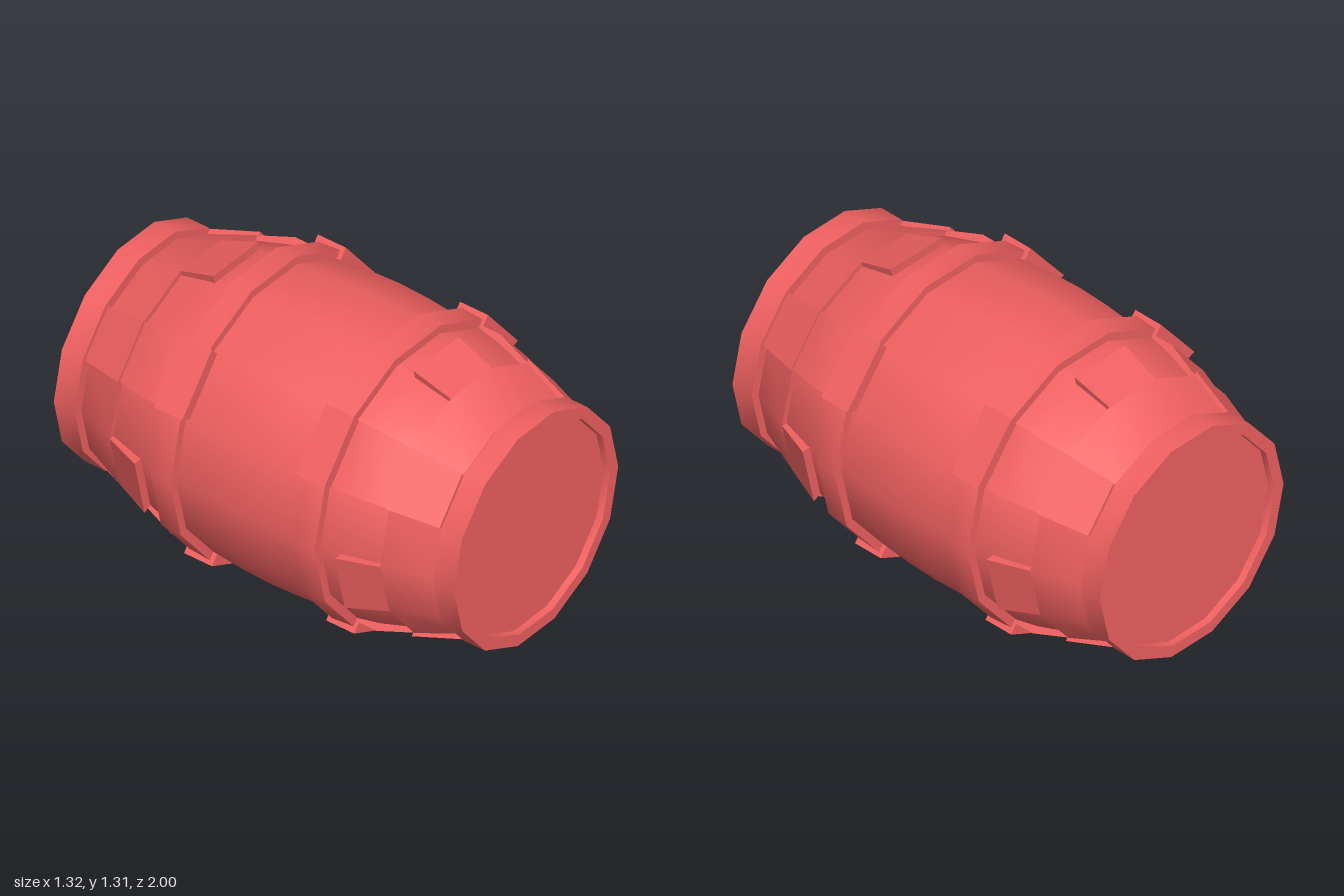
import * as THREE from 'three';
import { toCreasedNormals } from 'three/addons/utils/BufferGeometryUtils.js';

const SIDES = 14, STEP = (2 * Math.PI) / SIDES, CREASE = 0.5;
const material = new THREE.MeshStandardMaterial({ color: 0xf06060 });

function part(name, geometry) {
  const mesh = new THREE.Mesh(toCreasedNormals(geometry, CREASE), material);
  mesh.name = name;
  return mesh;
}

// Solid swept round the barrel axis (z) over some facets; facet 0 is on top.
// Stations are [z, outer radius, inner radius] with z increasing.
function band(name, facet, count, stations) {
  const loop = [
    ...stations.map(([z, r]) => [r, z]),
    ...stations.slice().reverse().map(([z, , r]) => [r, z]),
  ];
  const n = loop.length, m = stations.length;
  const pos = [], index = [];
  for (let j = 0; j <= count; j++) {
    const a = (facet + j - 0.5) * STEP;
    for (const [r, z] of loop) pos.push(r * Math.sin(a), r * Math.cos(a), z);
  }
  for (let j = 0; j < count; j++) {
    for (let i = 0; i < n; i++) {
      const a = j * n + i, b = j * n + ((i + 1) % n);
      index.push(a, b, a + n, b, b + n, a + n);
    }
  }
  // Flat side walls
  if (count < SIDES) {
    const e = count * n;
    for (let i = 0; i < m - 1; i++) {
      const o0 = i, o1 = i + 1, i0 = n - 1 - i, i1 = n - 2 - i;
      index.push(o0, i1, o1, o0, i0, i1);
      index.push(e + o0, e + o1, e + i1, e + o0, e + i1, e + i0);
    }
  }
  const g = new THREE.BufferGeometry();
  g.setAttribute('position', new THREE.Float32BufferAttribute(pos, 3));
  g.setIndex(index);
  return part(name, g);
}

// Hoop, straps and stepped plates of one end
function createEnd(name) {
  const end = new THREE.Group();
  end.name = name;
  end.add(band('hoop', 0, SIDES, [[0.305, 0.662, 0.58], [0.41, 0.655, 0.58]]));

  for (const k of [-6, -2, 2, 6]) {
    end.add(band('hoopClasp', k, 1, [[0.285, 0.68, 0.58], [0.425, 0.68, 0.58]]));
    end.add(band('innerStrap', k, 1, [[0.42, 0.632, 0.55], [0.515, 0.632, 0.55], [0.675, 0.575, 0.5]]));
    end.add(band('outerStrap', k, 1, [[0.67, 0.592, 0.5], [0.885, 0.518, 0.43]]));
  }

  // Three-facet plates with a tab on the middle facet
  for (const k of [-4, 0, 4]) {
    end.add(band('plate', k - 1, 3, [[0.675, 0.576, 0.5], [0.88, 0.497, 0.43]]));
    end.add(band('plateTab', k, 1, [[0.5, 0.642, 0.57], [0.675, 0.576, 0.5]]));
  }
  end.add(band('bottomPlate', 7, 1, [[0.675, 0.576, 0.5], [0.88, 0.497, 0.43]]));
  return end;
}

export function createModel() {
  const model = new THREE.Group();
  model.name = 'barrel';
  const axis = new THREE.Group();
  axis.name = 'barrelParts';
  axis.position.y = 0.664;
  model.add(axis);

  // Bulging body with raised end rims and recessed lids
  const half = [
    [0, 0.97], [0.466, 0.97], [0.468, 1], [0.52, 1], [0.52, 0.895], [0.47, 0.895],
    [0.55, 0.68], [0.598, 0.52], [0.617, 0.42], [0.626, 0.3], [0.639, 0.15],
  ];
  const profile = [
    ...half.map(([r, z]) => new THREE.Vector2(r, -z)),
    new THREE.Vector2(0.644, 0),
    ...half.slice().reverse().map(([r, z]) => new THREE.Vector2(r, z)),
  ];
  const body = new THREE.LatheGeometry(profile, SIDES, STEP / 2);
  body.rotateX(Math.PI / 2);
  axis.add(part('body', body));

  const front = createEnd('frontEnd');
  const back = createEnd('backEnd');
  back.rotation.y = Math.PI;
  axis.add(front, back);
  return model;
}
